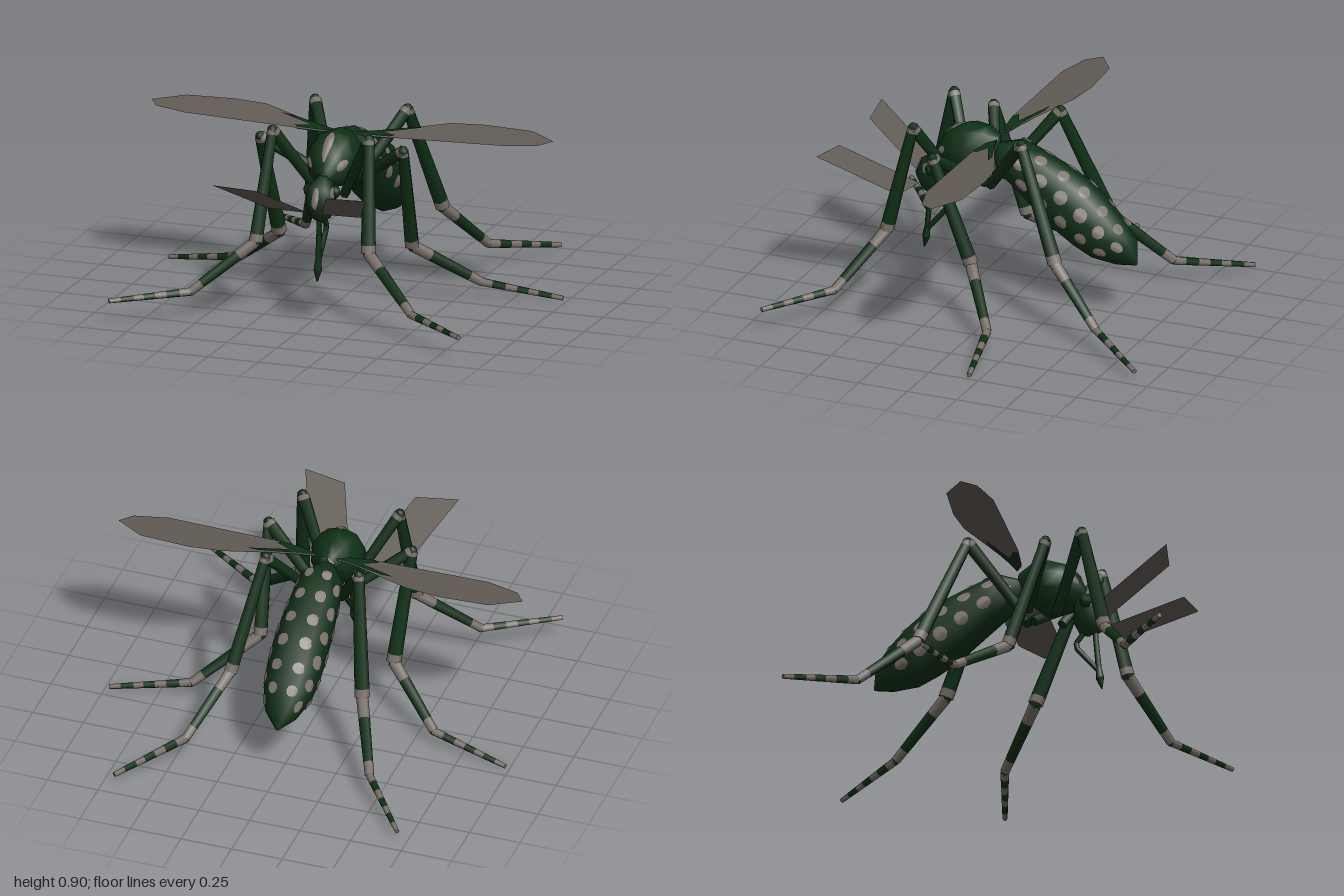
import * as THREE from 'three';

const mat = (name, color, side = THREE.FrontSide) => {
  const m = new THREE.MeshStandardMaterial({ color, side });
  m.name = name;
  return m;
};

export function createModel() {
  const model = new THREE.Group();
  model.name = 'mosquito';
  const green = mat('dark green', 0x0f2f15);
  const grey = mat('pale grey', 0x7a716a);
  const wingMat = mat('wing grey', 0x625b55, THREE.DoubleSide);
  const greenThin = mat('green vein', 0x0f2f15, THREE.DoubleSide);

  const add = (parent, name, geometry, material) => {
    const mesh = new THREE.Mesh(geometry, material);
    mesh.name = name;
    parent.add(mesh);
    return mesh;
  };
  const grid = (pos, index) => {
    const g = new THREE.BufferGeometry();
    g.setAttribute('position', new THREE.Float32BufferAttribute(pos, 3));
    g.setIndex(index);
    g.computeVertexNormals();
    return g;
  };

  // Body surface through sections [z, y, half width, half height]; up = [ny, nz] tilts the rings
  const SIDES = 10;
  const surface = (sections, [ny, nz]) => (t, a) => {
    const i = Math.min(Math.floor(t), sections.length - 2), f = t - i;
    const [z, y, w, h] = sections[i].map((v, k) => v + (sections[i + 1][k] - v) * f);
    const step = (2 * Math.PI) / SIDES, k = Math.floor(a / step), e = a / step - k;
    const mix = (fn) => fn(k * step) * (1 - e) + fn((k + 1) * step) * e;
    const c = h * mix(Math.cos);
    return new THREE.Vector3(w * mix(Math.sin), y + c * ny, z + c * nz);
  };
  const loft = (surf, count) => {
    const pos = [], index = [];
    for (let i = 0; i < count; i++)
      for (let j = 0; j < SIDES; j++) pos.push(...surf(i, (j / SIDES) * 2 * Math.PI));
    for (let i = 0; i < count - 1; i++)
      for (let j = 0; j < SIDES; j++) {
        const a = i * SIDES + j, b = i * SIDES + ((j + 1) % SIDES);
        index.push(a, b, a + SIDES, b, b + SIDES, a + SIDES);
      }
    return grid(pos, index);
  };
  // Thin rounded patch lying on a body surface
  const patch = (surf, t, a, dt, da) => {
    const N = 10, RINGS = 3, pos = [], index = [];
    const put = (u, v) => {
      const p = surf(u, v), e = 0.01;
      const n = surf(u, v + e).sub(surf(u, v - e)).cross(surf(u + e, v).sub(surf(u - e, v))).normalize();
      pos.push(...p.addScaledVector(n, 0.005));
    };
    put(t, a);
    for (let r = 1; r <= RINGS; r++)
      for (let j = 0; j < N; j++) {
        const q = (j / N) * 2 * Math.PI;
        put(t + (dt * Math.sin(q) * r) / RINGS, a + (da * Math.cos(q) * r) / RINGS);
      }
    for (let j = 0; j < N; j++) {
      const k = (j + 1) % N;
      index.push(0, 1 + j, 1 + k);
      for (let r = 0; r < RINGS - 1; r++) {
        const b = 1 + r * N;
        index.push(b + j, b + N + j, b + k, b + k, b + N + j, b + N + k);
      }
    }
    return grid(pos, index);
  };
  const body = (name, sections, up) => {
    const surf = surface(sections, up);
    add(model, name, loft(surf, sections.length), green);
    return surf;
  };

  // Abdomen, hanging down to the back, with staggered spots
  const abdomen = body('abdomen', [
    [0.1, 0.74, 0.03, 0.03], [0.02, 0.715, 0.1, 0.1], [-0.08, 0.655, 0.115, 0.115],
    [-0.19, 0.585, 0.125, 0.135], [-0.29, 0.515, 0.13, 0.15], [-0.39, 0.44, 0.128, 0.14],
    [-0.475, 0.375, 0.115, 0.12], [-0.57, 0.32, 0.075, 0.075], [-0.62, 0.265, 0.004, 0.004],
  ], [0.835, -0.55]);
  for (const s of [-1, 1])
    for (let i = 0; i < 6; i++) {
      add(model, 'abdomenSpot', patch(abdomen, 1.15 + i, s * 0.45, 0.24, 0.24), grey);
      add(model, 'abdomenSpot', patch(abdomen, 1.6 + i, s * 1.15, 0.28, 0.25), grey);
      add(model, 'abdomenSpot', patch(abdomen, 1.15 + i, s * 1.85, 0.28, 0.25), grey);
    }

  // Thorax with its back stripe and side marks
  const thorax = body('thorax', [
    [0.39, 0.655, 0.03, 0.03], [0.345, 0.68, 0.085, 0.09], [0.28, 0.7, 0.122, 0.125],
    [0.21, 0.71, 0.13, 0.14], [0.13, 0.74, 0.1, 0.1], [0.07, 0.76, 0.04, 0.04],
  ], [0.99, 0.12]);
  add(model, 'thoraxStripe', patch(thorax, 1.6, 0, 1.1, 0.2), grey);
  for (const s of [-1, 1]) add(model, 'thoraxMark', patch(thorax, 1.1, s * 1.2, 0.45, 0.22), grey);

  // Head, eyes and face marks
  const head = body('head', [
    [0.365, 0.665, 0.025, 0.025], [0.4, 0.615, 0.07, 0.075], [0.415, 0.54, 0.07, 0.09],
    [0.415, 0.475, 0.045, 0.06], [0.415, 0.45, 0.01, 0.01],
  ], [-0.15, -0.98]);
  add(model, 'faceStripe', patch(head, 1.6, Math.PI, 0.7, 0.22), grey);
  for (const s of [-1, 1]) {
    add(model, 'headMark', patch(head, 1.2, Math.PI + s * 1.3, 0.35, 0.35), grey);
    add(model, 'eye', new THREE.SphereGeometry(0.032, 8, 6), green).position.set(s * 0.06, 0.6, 0.4);
  }

  // Tapered straight piece between two points
  const up = new THREE.Vector3(0, 1, 0);
  const rod = (parent, name, a, b, ra, rb, material) => {
    const d = b.clone().sub(a);
    const mesh = add(parent, name, new THREE.CylinderGeometry(rb, ra, d.length(), 6), material);
    mesh.position.copy(a).addScaledVector(d, 0.5);
    mesh.quaternion.setFromUnitVectors(up, d.normalize());
  };
  const V = (x, y, z) => new THREE.Vector3(x, y, z);

  // Straight proboscis and the bent sheath behind it
  const mouth = (name, pts, radii) => {
    for (let i = 0; i < pts.length - 1; i++)
      rod(model, name, V(0, ...pts[i]), V(0, ...pts[i + 1]), radii[i], radii[i + 1], green);
  };
  mouth('proboscis', [[0.47, 0.43], [0.28, 0.447], [0.23, 0.453], [0.175, 0.462]], [0.013, 0.014, 0.02, 0.003]);
  mouth('sheath', [[0.48, 0.385], [0.42, 0.34], [0.39, 0.345], [0.27, 0.445]], [0.014, 0.013, 0.013, 0.012]);

  // Legs: base, knee, shin end, ankle, tip
  const legs = {
    frontLeg: [[0.06, 0.55, 0.26], [0.24, 0.875, 0.415], [0.28, 0.36, 0.53], [0.55, 0.13, 0.68], [0.87, 0.115, 0.91]],
    middleLeg: [[0.06, 0.58, 0.12], [0.355, 0.79, 0.265], [0.33, 0.28, 0.08], [0.6, 0.075, -0.12], [0.98, 0.013, -0.195]],
    hindLeg: [[0.06, 0.57, 0.1], [0.23, 0.875, -0.13], [0.325, 0.35, -0.345], [0.455, 0.11, -0.61], [0.7, 0.045, -0.915]],
  };
  // Per segment: start radius, end radius, stops where the colour switches
  const segments = [
    ['thigh', 0.024, 0.03, [0, 0.94, 1], false],
    ['shin', 0.027, 0.036, [0, 0.04, 0.93, 1], true],
    ['ankle', 0.029, 0.022, [0, 0.27, 0.83, 1], true],
    ['foot', 0.021, 0.012, [0, 0.14, 0.3, 0.44, 0.58, 0.7, 0.86, 1], true],
  ];
  for (const [name, pts] of Object.entries(legs))
    for (const s of [-1, 1]) {
      const leg = new THREE.Group();
      leg.name = (s > 0 ? 'left ' : 'right ') + name;
      model.add(leg);
      const p = pts.map(([x, y, z]) => V(s * x, y, z));
      segments.forEach(([part, ra, rb, stops, greyFirst], i) => {
        for (let k = 0; k < stops.length - 1; k++) {
          const [f, g] = [stops[k], stops[k + 1]];
          const pale = (k % 2 === 0) === greyFirst;
          rod(leg, part, p[i].clone().lerp(p[i + 1], f), p[i].clone().lerp(p[i + 1], g),
            ra + (rb - ra) * f, ra + (rb - ra) * g, pale ? grey : green);
        }
        if (i > 0) add(leg, 'joint', new THREE.SphereGeometry(ra * 0.97, 6, 5), green).position.copy(p[i]);
      });
    }

  // Flat sheets given as [x, z] outlines, lifted by a height rule
  const sheet = (name, outline, s, height, material) => {
    const g = new THREE.ShapeGeometry(new THREE.Shape(outline.map(([x, z]) => new THREE.Vector2(s * x, z))));
    const a = g.attributes.position;
    for (let i = 0; i < a.count; i++) {
      const x = a.getX(i), z = a.getY(i);
      a.setXYZ(i, x, height(Math.abs(x), z), z);
    }
    g.computeVertexNormals();
    add(model, name, g, material);
  };
  const wingY = (x, z) => 0.8 + 0.028 * Math.min(1, x / 0.46) - 0.1 * z;
  for (const s of [-1, 1]) {
    sheet('wing', [[0.05, 0.07], [0.1, 0.1], [0.25, 0.115], [0.79, 0.105], [0.95, 0.06], [1, -0.01],
      [0.86, -0.105], [0.62, -0.12], [0.46, -0.1], [0.15, 0.04]], s, wingY, wingMat);
    for (const d of [-0.005, 0.005]) {
      sheet('wingRoot', [[0.05, 0.07], [0.1, 0.1], [0.23, 0.112], [0.25, 0.09], [0.18, 0.06], [0.36, -0.02],
        [0.3, -0.015], [0.15, 0.04]], s, (x, z) => wingY(x, z) + d, greenThin);
    }
    // Broad feeler plate rising forward from the face
    sheet('feeler', [[0.03, 0.475], [0.23, 0.495], [0.38, 0.845], [0.175, 0.818]], s,
      (x, z) => 0.51 + (z - 0.48) * 0.55, wingMat);
  }
  return model;
}
